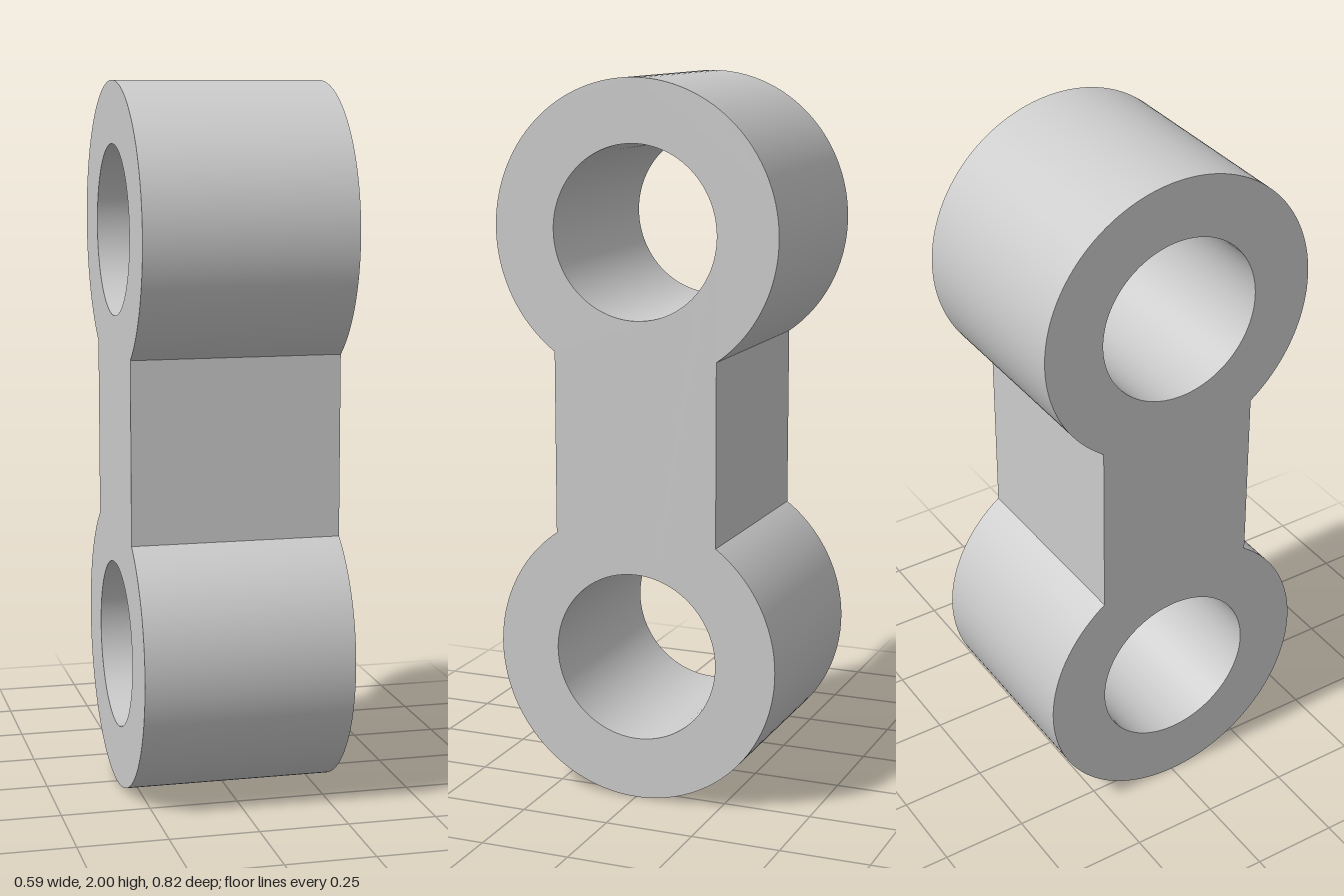
import * as THREE from 'three';
import { toCreasedNormals } from 'three/addons/utils/BufferGeometryUtils.js';

const R = 0.41;          // outer radius of each eye
const BORE = 0.237;      // bore radius
const WEB = 0.237;       // half width of the web between the eyes
const DEPTH = 0.59;      // thickness along x
const LOW = R, HIGH = 2 - R; // eye centre heights

export function createModel() {
  const group = new THREE.Group();
  group.name = 'chainLink';

  // Outline: two round eyes joined by a straight web
  const a = Math.acos(WEB / R);
  const outline = new THREE.Shape();
  outline.absarc(0, LOW, R, Math.PI - a, 2 * Math.PI + a, false);
  outline.absarc(0, HIGH, R, -a, Math.PI + a, false);
  outline.closePath();

  // Bore through each eye
  for (const y of [LOW, HIGH]) {
    const bore = new THREE.Path();
    bore.absarc(0, y, BORE, 0, 2 * Math.PI, true);
    outline.holes.push(bore);
  }

  // Extrude across the width, smooth around the curves, sharp at the edges
  const geometry = new THREE.ExtrudeGeometry(outline, {
    depth: DEPTH, bevelEnabled: false, curveSegments: 64,
  });
  geometry.translate(0, 0, -DEPTH / 2);
  geometry.rotateY(Math.PI / 2);

  const link = new THREE.Mesh(
    toCreasedNormals(geometry, 0.4),
    new THREE.MeshStandardMaterial({ color: 0xcccccc })
  );
  link.name = 'linkBody';
  group.add(link);
  return group;
}
